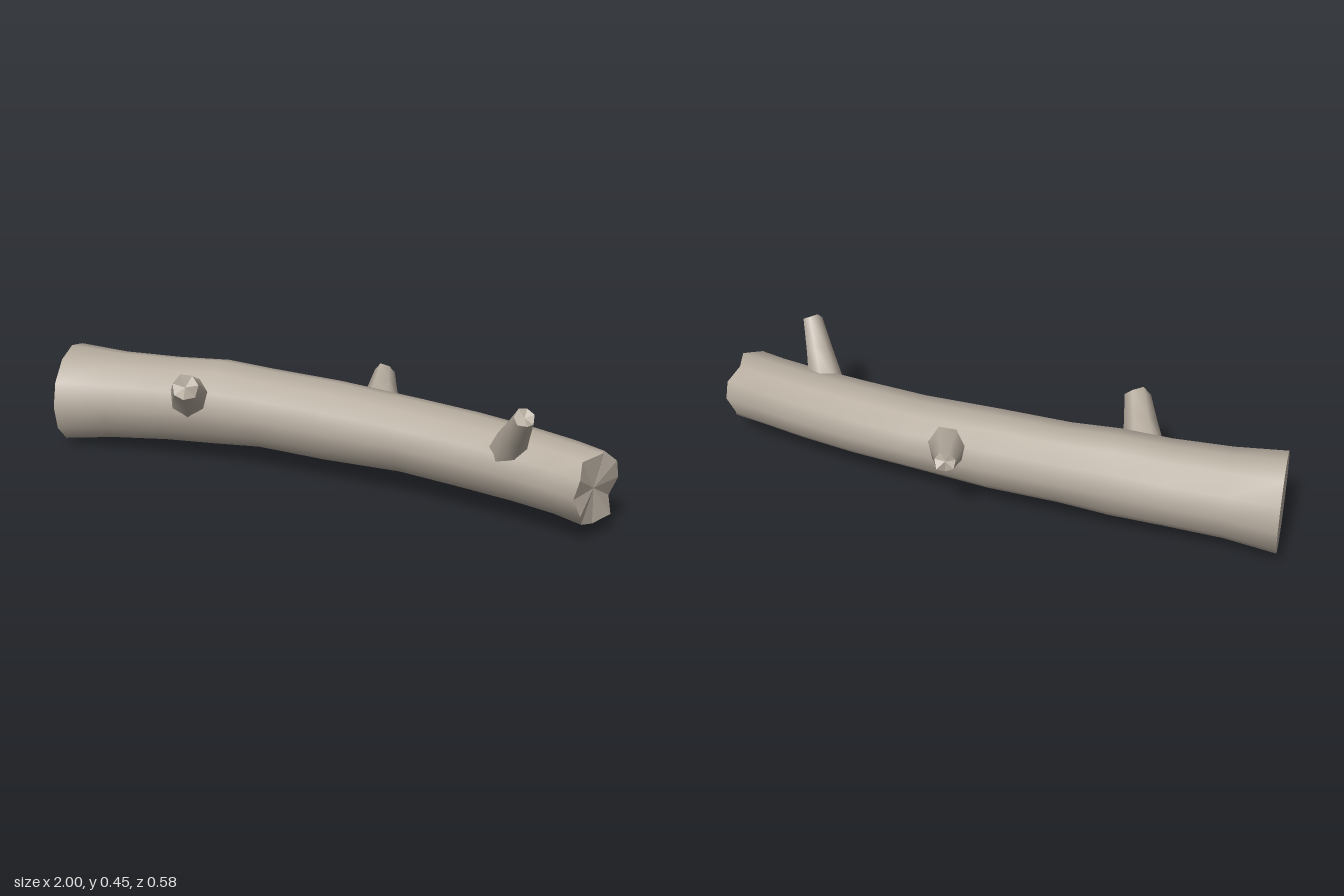
import * as THREE from 'three';

const bark = new THREE.MeshStandardMaterial({ color: 0xb5ab9e });
bark.name = 'greyBark';

// Smooth skin over closed rings of points that run along +x
function skin(rings) {
  const n = rings[0].length, index = [];
  for (let i = 0; i < rings.length - 1; i++) {
    for (let j = 0; j < n; j++) {
      const k = (j + 1) % n, a = i * n, b = a + n;
      index.push(a + j, a + k, b + j, a + k, b + k, b + j);
    }
  }
  const geo = new THREE.BufferGeometry().setFromPoints(rings.flat());
  geo.setIndex(index);
  geo.computeVertexNormals();
  return geo;
}

// Flat-faced fan that closes a ring; atStart turns it to face backwards
function cap(ring, atStart, depth = 0) {
  const centre = new THREE.Vector3();
  ring.forEach(p => centre.addScaledVector(p, 1 / ring.length));
  centre.x -= depth;
  const points = [];
  ring.forEach((p, j) => {
    const q = ring[(j + 1) % ring.length];
    points.push(centre, ...(atStart ? [q, p] : [p, q]));
  });
  const geo = new THREE.BufferGeometry().setFromPoints(points);
  geo.computeVertexNormals();
  return geo;
}

function add(parent, name, geo) {
  const mesh = new THREE.Mesh(geo, bark);
  mesh.name = name;
  parent.add(mesh);
}

// Trunk stations: x, bottom, top, back z, front z, lean of the ring
const stations = [
  [-0.978, 0.003, 0.345, -0.11, 0.232, 0.13],
  [-0.8, 0.028, 0.337, -0.107, 0.19, 0.12],
  [-0.6, 0.045, 0.340, -0.127, 0.158, 0.1],
  [-0.42, 0.053, 0.353, -0.141, 0.135, 0.07],
  [-0.25, 0.068, 0.343, -0.147, 0.122, 0.03],
  [0, 0.065, 0.340, -0.147, 0.12, -0.01],
  [0.28, 0.076, 0.327, -0.137, 0.122, -0.08],
  [0.5, 0.07, 0.322, -0.115, 0.138, -0.14],
  [0.7, 0.066, 0.315, -0.083, 0.158, -0.19],
  [0.85, 0.063, 0.308, -0.052, 0.184, -0.23],
  [0.962, 0.055, 0.302, -0.022, 0.21, -0.27],
];
const jag = [0.018, -0.014, 0.006, -0.004, 0.012, -0.008, -0.006, 0.02, -0.014, 0.006, 0.008, -0.012];

function buildTrunk() {
  const trunk = new THREE.Group();
  trunk.name = 'trunk';
  const sides = 12;
  const rings = stations.map(([x, y0, y1, z0, z1, lean], i) =>
    Array.from({ length: sides }, (_, j) => {
      const a = j / sides * Math.PI * 2, dz = Math.sin(a) * (z1 - z0) / 2;
      const broken = i === stations.length - 1 ? jag[j] : 0;
      return new THREE.Vector3(x + lean * dz + broken,
        (y0 + y1) / 2 + Math.cos(a) * (y1 - y0) / 2, (z0 + z1) / 2 + dz);
    }));
  add(trunk, 'trunkBark', skin(rings));
  add(trunk, 'cutEnd', cap(rings[0], true));
  add(trunk, 'brokenEnd', cap(rings[rings.length - 1], false, 0.008));
  return trunk;
}

// Tapered stub with a flared foot and a snapped tip
function buildBranch(name, from, to, footRadius, tipRadius, jagged, sides = 7) {
  const branch = new THREE.Group();
  branch.name = name;
  const start = new THREE.Vector3(...from), axis = new THREE.Vector3(...to).sub(start);
  const length = axis.length();
  const rings = [[0, footRadius], [0.55, footRadius * 0.4 + tipRadius * 0.6], [1, tipRadius]].map(([t, r]) =>
    Array.from({ length: sides }, (_, j) => {
      const a = j / sides * Math.PI * 2;
      const broken = t === 1 ? jagged * Math.sin(j * 2.4 + 1) : 0;
      return new THREE.Vector3(t * length + broken, r * Math.cos(a), r * Math.sin(a));
    }));
  add(branch, name + 'Bark', skin(rings));
  add(branch, name + 'Tip', cap(rings[2], false, 0.004));
  branch.position.copy(start);
  branch.quaternion.setFromUnitVectors(new THREE.Vector3(1, 0, 0), axis.normalize());
  return branch;
}

export function createModel() {
  const log = new THREE.Group();
  log.name = 'log';
  log.add(
    buildTrunk(),
    buildBranch('frontBranch', [-0.5, 0.225, 0.07], [-0.42, 0.345, 0.25], 0.078, 0.045, 0.016),
    buildBranch('backBranch', [0.14, 0.235, -0.08], [0.08, 0.3, -0.265], 0.075, 0.036, 0.012),
    buildBranch('upperBranch', [0.655, 0.24, 0.08], [0.757, 0.425, 0.21], 0.065, 0.034, 0.008),
  );
  return log;
}
